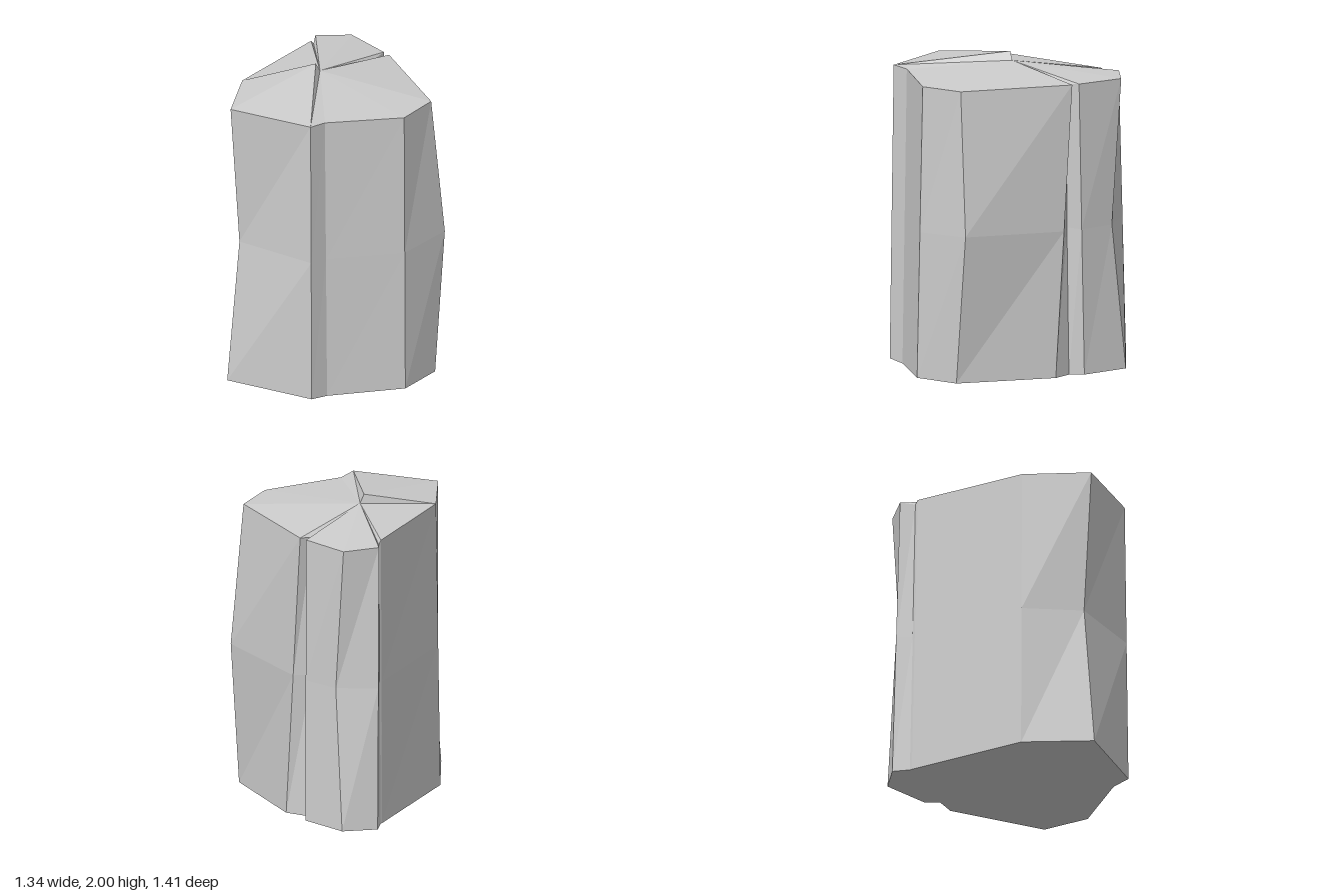
import * as THREE from 'three';

const V = (x, y, z) => new THREE.Vector3(x, y, z);

// Outline corners, running round from the front: top, bottom and (where the edge bends) middle
const corners = [
  { top: V(-0.32, 1.9, 0.58), bottom: V(-0.325, 0.015, 0.605) },
  { top: V(-0.2, 1.89, 0.545), bottom: V(-0.2, 0, 0.575) },
  { top: V(0.3, 1.87, 0.67), bottom: V(0.29, 0, 0.705) },
  { top: V(0.565, 1.87, 0.53), mid: V(0.657, 0.95, 0.54), bottom: V(0.575, 0, 0.565) },
  { top: V(0.65, 1.87, -0.21), bottom: V(0.67, 0, -0.085) },
  { top: V(0.56, 1.86, -0.22), mid: V(0.56, 0.94, -0.215), bottom: V(0.6, 0, -0.21) }, // side notch
  { top: V(0.64, 1.87, -0.262), bottom: V(0.665, 0.005, -0.287) },
  { top: V(0.58, 1.87, -0.585), mid: V(0.59, 0.94, -0.515), bottom: V(0.605, 0.01, -0.605) },
  { top: V(0.365, 1.88, -0.67), bottom: V(0.4, 0.01, -0.705) },
  { top: V(0.31, 1.865, -0.59), bottom: V(0.32, 0.01, -0.625) }, // back notch
  { top: V(0.29, 1.89, -0.585), bottom: V(0.305, 0.01, -0.62) },
  { top: V(-0.38, 1.9, -0.24), bottom: V(-0.4, 0.02, -0.26) },
  { top: V(-0.645, 1.9, 0.11), mid: V(-0.577, 0.96, 0.1), bottom: V(-0.672, 0.02, 0.115) },
];
const n = corners.length;
const raisedFrom = 11; // from this corner on, the top belongs to the raised split

function meshFrom(name, points) {
  const geometry = new THREE.BufferGeometry().setFromPoints(points);
  geometry.computeVertexNormals();
  const mesh = new THREE.Mesh(geometry,
    new THREE.MeshStandardMaterial({ color: 0xcccccc, flatShading: true }));
  mesh.name = name;
  return mesh;
}

export function createModel() {
  const group = new THREE.Group();
  group.name = 'log';
  const bark = [], splitTop = [], base = [];
  const lowHub = V(0.08, 1.945, -0.06), highHub = V(0.05, 2, -0.06), baseHub = V(0, 0, 0);
  const hub = i => (i >= raisedFrom ? highHub : lowHub);
  const middle = c => c.mid ?? c.top.clone().lerp(c.bottom, 0.5);
  const quad = (a, b, c, d) => bark.push(a, b, c, a, c, d);

  corners.forEach((p, i) => {
    const q = corners[(i + 1) % n];
    // Bark facets, bending at half height
    quad(p.bottom, q.bottom, middle(q), middle(p));
    quad(middle(p), middle(q), q.top, p.top);
    // Split wedges of the top, with a step where the raised one begins and ends
    splitTop.push(hub(i), p.top, q.top);
    const previous = hub((i + n - 1) % n);
    if (previous !== hub(i)) splitTop.push(previous, p.top, hub(i));
    // Underside
    base.push(baseHub, q.bottom, p.bottom);
  });

  group.add(meshFrom('bark', bark), meshFrom('splitTop', splitTop), meshFrom('base', base));
  return group;
}
